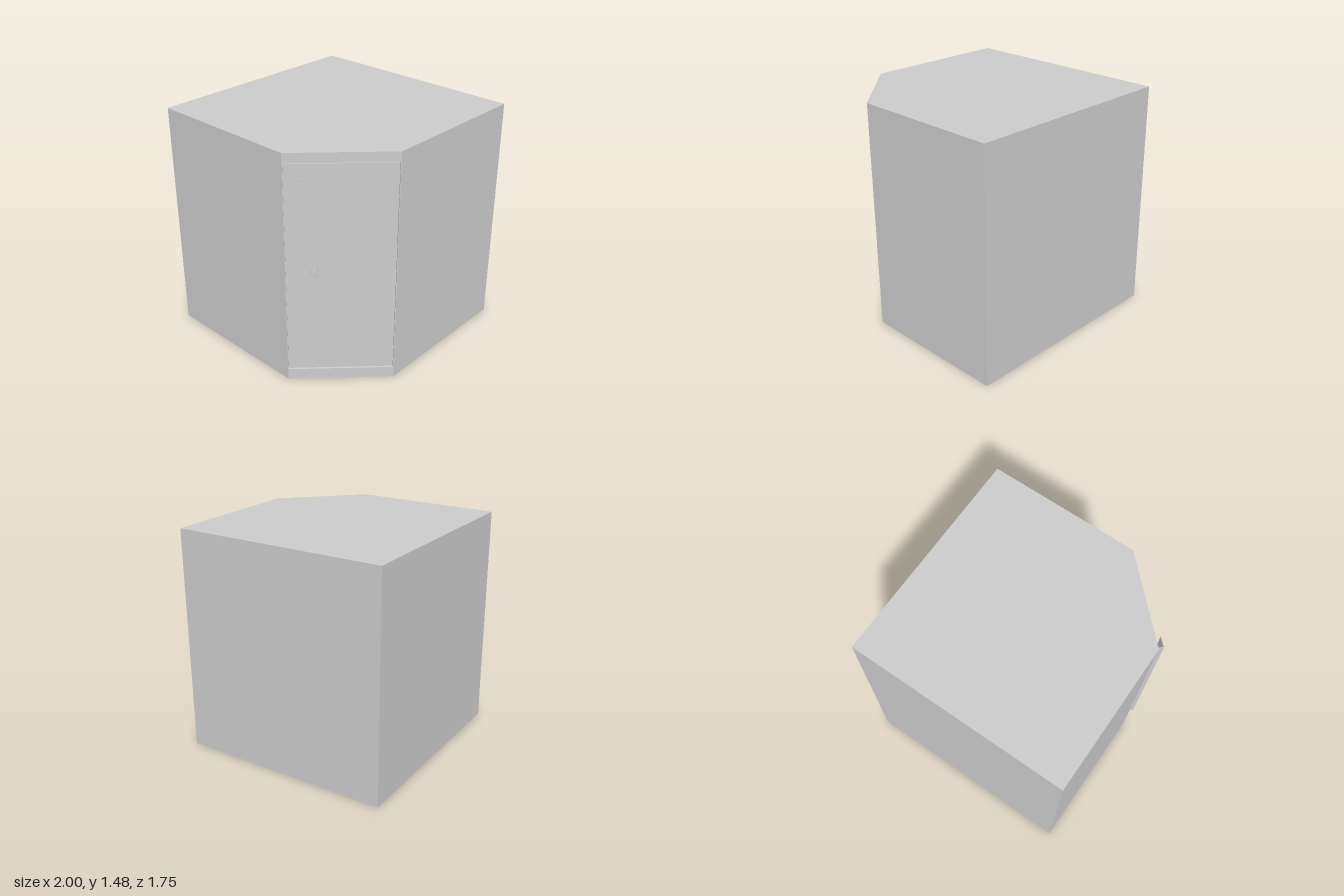
import * as THREE from 'three';

const material = new THREE.MeshStandardMaterial({ color: 0xcccccc, side: THREE.DoubleSide });

// Extrudes a plan outline of [x, z] points upwards from y0 to y1.
function prism(name, points, y0, y1) {
  const shape = new THREE.Shape(points.map(([x, z]) => new THREE.Vector2(x, -z)));
  const geometry = new THREE.ExtrudeGeometry(shape, { depth: y1 - y0, bevelEnabled: false });
  geometry.rotateX(-Math.PI / 2).translate(0, y0, 0);
  const mesh = new THREE.Mesh(geometry, material);
  mesh.name = name;
  return mesh;
}

export function createModel() {
  const group = new THREE.Group();
  group.name = 'cornerCabinet';

  const front = 0.81, height = 1.48;
  const doorBottom = 0.07, doorTop = 1.42;
  const opening = 0.312, gap = 0.01, recess = 0.02;

  // Five-sided carcass, with a shallow door opening in the middle tier
  const back = [[0.316, front], [1, 0.126], [0, -0.874], [-1, 0.126], [-0.316, front]];
  const notch = [
    [-opening, front], [-opening, front - recess],
    [opening, front - recess], [opening, front],
  ];
  group.add(prism('plinth', back, 0, doorBottom));
  group.add(prism('carcass', [...back, ...notch], doorBottom, doorTop));
  group.add(prism('topPanel', back, doorTop, height));

  // Flush door with a narrow gap at the sides and bottom
  const half = opening - gap;
  const door = new THREE.Mesh(
    new THREE.BoxGeometry(half * 2, doorTop - doorBottom - gap - 0.003, recess), material);
  door.name = 'door';
  door.position.set(0, (doorTop + doorBottom + gap - 0.003) / 2, front - recess / 2);
  group.add(door);

  // Full-height channel handle, open towards the middle of the door
  const l = -0.267, r = -0.198, t = 0.004, tip = 0.875;
  group.add(prism('handle', [
    [-0.23, front], [l, front], [l, tip], [r, tip],
    [r, tip - t], [l + t, tip - t], [l + t, front + t], [-0.23, front + t],
  ], 0.14, 1.36));

  // Round lock
  const profile = [[0.016, 0], [0.016, 0.003], [0.023, 0.003], [0.023, 0.011], [0.021, 0.013], [0, 0.013]]
    .map(([x, y]) => new THREE.Vector2(x, y));
  const lock = new THREE.Mesh(new THREE.LatheGeometry(profile, 24), material);
  lock.name = 'lock';
  lock.rotation.x = Math.PI / 2;
  lock.position.set(-0.15, 0.75, front);
  group.add(lock);

  // Key slot across the lock
  const slot = new THREE.Mesh(new THREE.BoxGeometry(0.005, 0.028, 0.002), material);
  slot.name = 'keySlot';
  slot.position.set(-0.15, 0.75, front + 0.013);
  group.add(slot);

  return group;
}
